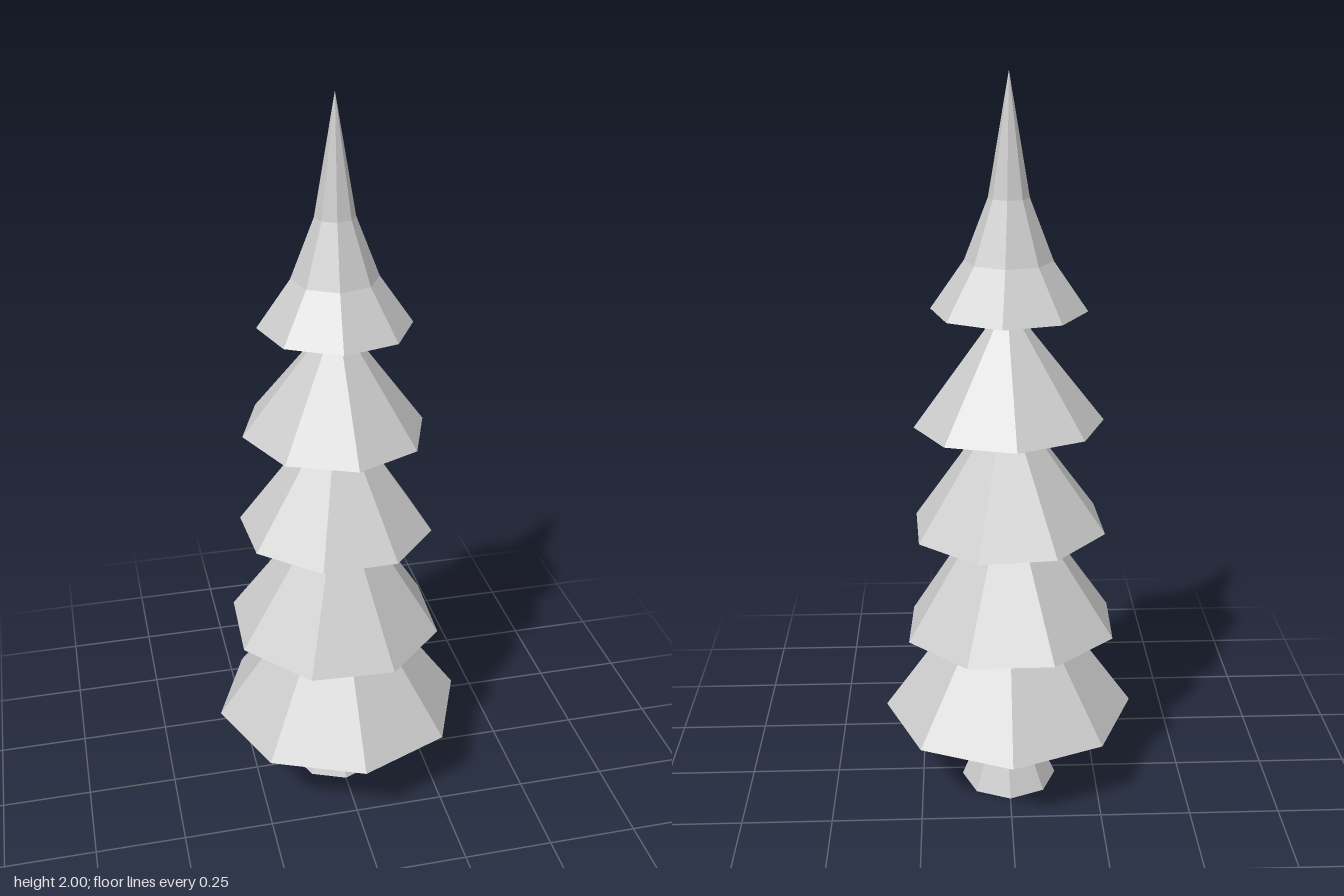
import * as THREE from 'three';

const SIDES = 8;
const material = new THREE.MeshStandardMaterial({ color: 0xcccccc, flatShading: true });
const rad = THREE.MathUtils.degToRad;

// Eight-sided lathe; spin turns the corners about the y axis
function turned(name, profile, spin = 0) {
  const points = profile.map(([r, y]) => new THREE.Vector2(r, y));
  const mesh = new THREE.Mesh(new THREE.LatheGeometry(points, SIDES, -rad(spin)), material);
  mesh.name = name;
  return mesh;
}

// Hollow skirt of branches: inner wall down to the rim, then the outer wall up to the tip
function skirt(name, { outer, spin, at, tilt = [0, 0] }) {
  const wall = 0.02;
  const inner = outer.map(([r, y], i) =>
    i === outer.length - 1 ? [0, y - 0.03] : [r - wall * (i ? 0.7 : 1), y]);
  const mesh = turned(name, [...inner.reverse(), ...outer], spin);
  mesh.position.set(...at);
  mesh.rotation.set(tilt[0], 0, tilt[1]);
  return mesh;
}

// Trunk with flared foot, leaning a little as it rises: [radius, y, x, z]
function trunk() {
  const rings = [
    [0, 0, 0, -0.028], [0.135, 0, 0, -0.028], [0.08, 0.13, 0.004, -0.031], [0.077, 0.23, -0.004, -0.02],
    [0.052, 0.62, 0, -0.01], [0.042, 0.88, 0, -0.018], [0.038, 1.15, 0, -0.03],
    [0.03, 1.46, 0, -0.033], [0, 1.46, 0, -0.033],
  ];
  const mesh = turned('trunk', rings);
  const pos = mesh.geometry.attributes.position;
  for (let i = 0; i < pos.count; i++) {
    const [, , x, z] = rings[i % rings.length];
    pos.setX(i, pos.getX(i) + x);
    pos.setZ(i, pos.getZ(i) + z);
  }
  mesh.geometry.computeVertexNormals();
  return mesh;
}

export function createModel() {
  const tree = new THREE.Group();
  tree.name = 'firTree';
  tree.add(trunk());

  // Branch tiers from the ground up
  const tiers = [
    { outer: [[0.352, 0], [0, 0.49]], spin: 0, at: [0, 0.222, 0] },
    { outer: [[0.302, 0], [0, 0.45]], spin: 24.4, at: [-0.005, 0.493, -0.027], tilt: [0.036, -0.018] },
    { outer: [[0.27, 0], [0, 0.38]], spin: 19.3, at: [0, 0.8, -0.035], tilt: [-0.015, -0.018] },
    { outer: [[0.253, 0], [0, 0.335]], spin: -2.5, at: [0, 1.095, -0.05], tilt: [0.03, -0.018] },
  ];
  tiers.forEach((tier, i) => tree.add(skirt(`branchTier${i + 1}`, tier)));

  // Pointed crown with a concave flare
  tree.add(skirt('crown', {
    outer: [[0.205, 0], [0.115, 0.13], [0.053, 0.29], [0, 0.6]],
    spin: 6.6, at: [0, 1.4, -0.033],
  }));
  return tree;
}
